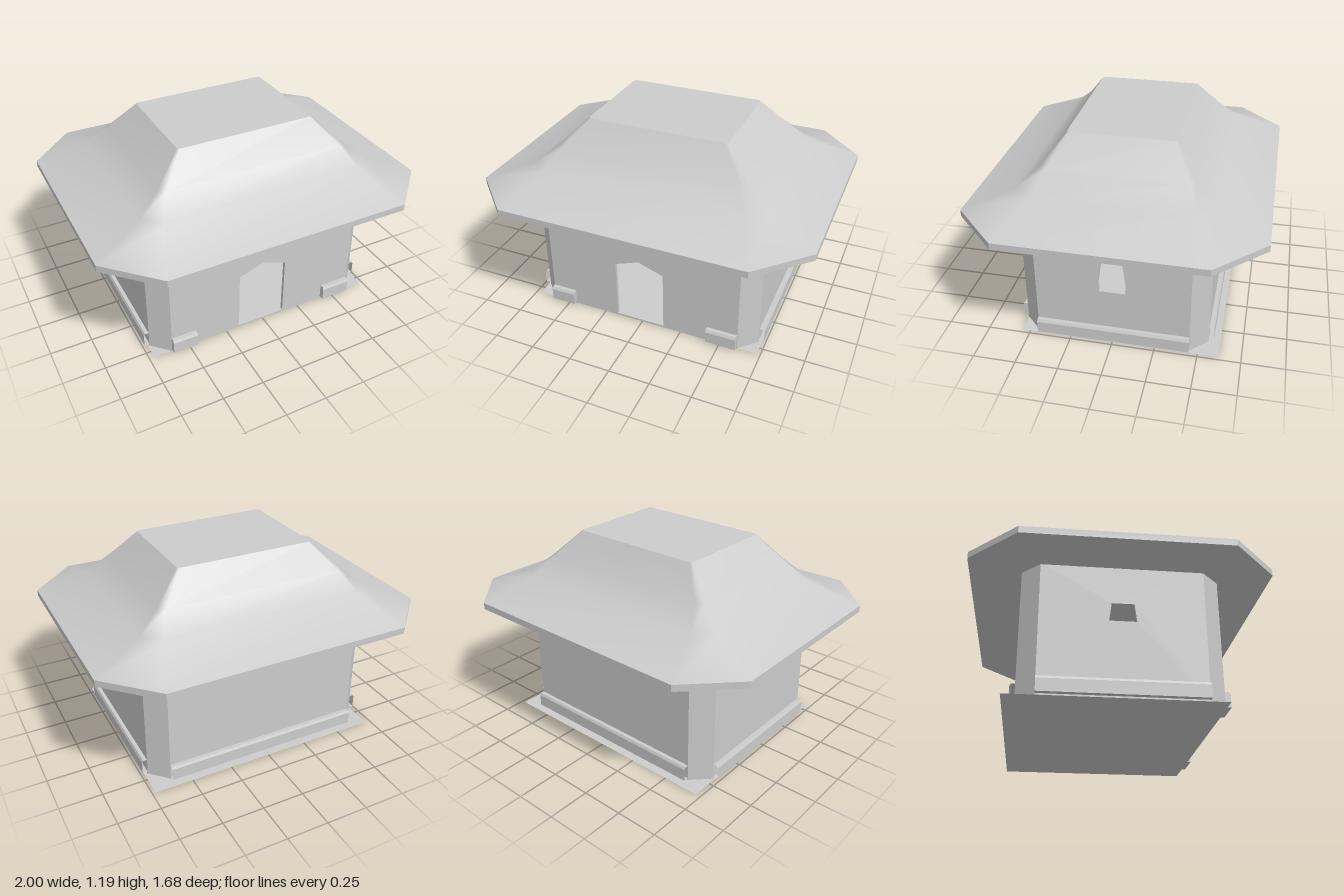
import * as THREE from 'three';

const grey = new THREE.MeshStandardMaterial({ color: 0xcccccc });
const flat = new THREE.MeshStandardMaterial({ color: 0xcccccc, flatShading: true });
const open = new THREE.MeshStandardMaterial({ color: 0xcccccc, flatShading: true, side: THREE.DoubleSide });

// Rectangle with cut corners, counter-clockwise seen from above (second value is -z)
function octagon(hx, hz, cut) {
  const x = hx - cut, z = hz - cut;
  return [[hx, -z], [hx, z], [x, hz], [-x, hz], [-hx, z], [-hx, -z], [-x, -hz], [x, -hz]];
}

const toShape = pts => new THREE.Shape(pts.map(p => new THREE.Vector2(...p)));

// Skin between stacked cut-corner rings [hx, hz, cut, y], lowest first
function loft(rings) {
  const pos = [], index = [];
  for (const [hx, hz, cut, y] of rings)
    for (const [x, v] of octagon(hx, hz, cut)) pos.push(x, y, -v);
  for (let r = 0; r < rings.length - 1; r++)
    for (let i = 0; i < 8; i++) {
      const a = r * 8 + i, b = r * 8 + (i + 1) % 8;
      index.push(a, b, b + 8, a, b + 8, a + 8);
    }
  const g = new THREE.BufferGeometry();
  g.setAttribute('position', new THREE.Float32BufferAttribute(pos, 3));
  g.setIndex(index);
  g.computeVertexNormals();
  return g;
}

// Horizontal cut-corner sheet facing up (dir 1) or down (dir -1)
function sheet(hx, hz, cut, y, dir) {
  return new THREE.ShapeGeometry(toShape(octagon(hx, hz, cut))).rotateX(-dir * Math.PI / 2).translate(0, y, 0);
}

export function createModel() {
  const model = new THREE.Group();
  const add = (name, geometry, material = grey, parent = model) => {
    const m = new THREE.Mesh(geometry, material);
    m.name = name;
    parent.add(m);
    return m;
  };

  // Walls: thin panels round a hollow room
  const HX = 0.71, HZ = 0.552, CUT = 0.102, TOP = 0.775, THICK = 0.02;
  const walls = new THREE.Group();
  walls.name = 'walls';
  model.add(walls);
  function wall(name, width, x, z, angle, hole) {
    const w = width / 2;
    const shape = toShape([[-w, 0], [w, 0], [w, TOP], [-w, TOP]]);
    if (hole) shape.holes.push(new THREE.Path(hole.map(p => new THREE.Vector2(...p))));
    const g = new THREE.ExtrudeGeometry(shape, { depth: THICK, bevelEnabled: false });
    const m = add(name, g.translate(0, 0, -THICK), grey, walls);
    m.position.set(x, 0, z);
    m.rotation.y = angle;
  }
  const door = [[-0.165, 0.013], [-0.165, 0.39], [-0.015, 0.445], [0.14, 0.39], [0.14, 0.013]];
  const leftWindow = [[-0.077, 0.35], [-0.078, 0.42], [-0.062, 0.545], [0.062, 0.545], [0.078, 0.42], [0.077, 0.35]];
  const rightWindow = [[-0.075, 0.44], [-0.062, 0.545], [0.062, 0.545], [0.075, 0.44]];
  const longW = 2 * (HX - CUT), shortW = 2 * (HZ - CUT);
  wall('frontWall', longW, 0, HZ, 0, door);
  wall('backWall', longW, 0, -HZ, Math.PI);
  wall('leftWall', shortW, HX, 0, Math.PI / 2, leftWindow);
  wall('rightWall', shortW, -HX, 0, -Math.PI / 2, rightWindow);
  for (const sx of [-1, 1])
    for (const sz of [-1, 1])
      wall('cornerWall', CUT * Math.SQRT2, sx * (HX - CUT / 2), sz * (HZ - CUT / 2), Math.atan2(sx, sz));

  // Floor and the thin ground sheet below it
  add('floor', sheet(HX, HZ, CUT, 0.013, 1));
  add('groundSheet', new THREE.PlaneGeometry(1.45, 1.17).rotateX(-Math.PI / 2).translate(0.005, 0, -0.035), open);

  // Skirting along the sides and back: bevelled strips with open ends
  function skirting(name, width, x, z, angle) {
    const profile = [[0, 0.013], [0.03, 0.013], [0.03, 0.085], [0.022, 0.1], [0, 0.1]];
    const g = new THREE.PlaneGeometry(width, 1, 1, profile.length - 1);
    profile.forEach(([out, y], i) => {
      for (let k = 0; k < 2; k++) {
        const n = (profile.length - 1 - i) * 2 + k;
        g.attributes.position.setY(n, y).setZ(n, out);
      }
    });
    const m = add(name, g, open);
    m.position.set(x, 0, z);
    m.rotation.y = angle;
  }
  skirting('leftSkirting', shortW, HX, 0, Math.PI / 2);
  skirting('rightSkirting', shortW, -HX, 0, -Math.PI / 2);
  skirting('backSkirting', longW, 0, -HZ, Math.PI);

  // Short closed skirting blocks at both ends of the front
  const block = toShape([[0, 0.013], [0.031, 0.013], [0.031, 0.085], [0.023, 0.1], [0, 0.1]]);
  for (const [x0, x1] of [[-0.608, -0.455], [0.42, 0.605]]) {
    const g = new THREE.ExtrudeGeometry(block, { depth: x1 - x0, bevelEnabled: false });
    g.rotateY(-Math.PI / 2).translate(x1, 0, HZ);
    add('frontSkirting', g);
  }

  // Roof: smooth flared slope, flat top, eave edge and underside
  const roof = new THREE.Group();
  roof.name = 'roof';
  model.add(roof);
  const slope = [[1, 0.842, 0.273, 0.803], [0.71, 0.553, 0.1, 0.917], [0.58, 0.43, 0.035, 1.025], [0.42, 0.308, 0.014, 1.187]];
  add('roofSlope', loft(slope), grey, roof);
  add('roofTop', sheet(0.42, 0.308, 0.014, 1.187, 1), grey, roof);
  add('eaveEdge', loft([[1, 0.842, 0.273, 0.764], slope[0]]), flat, roof);
  add('eaveUnderside', sheet(1, 0.842, 0.273, 0.764, -1), grey, roof);

  return model;
}
